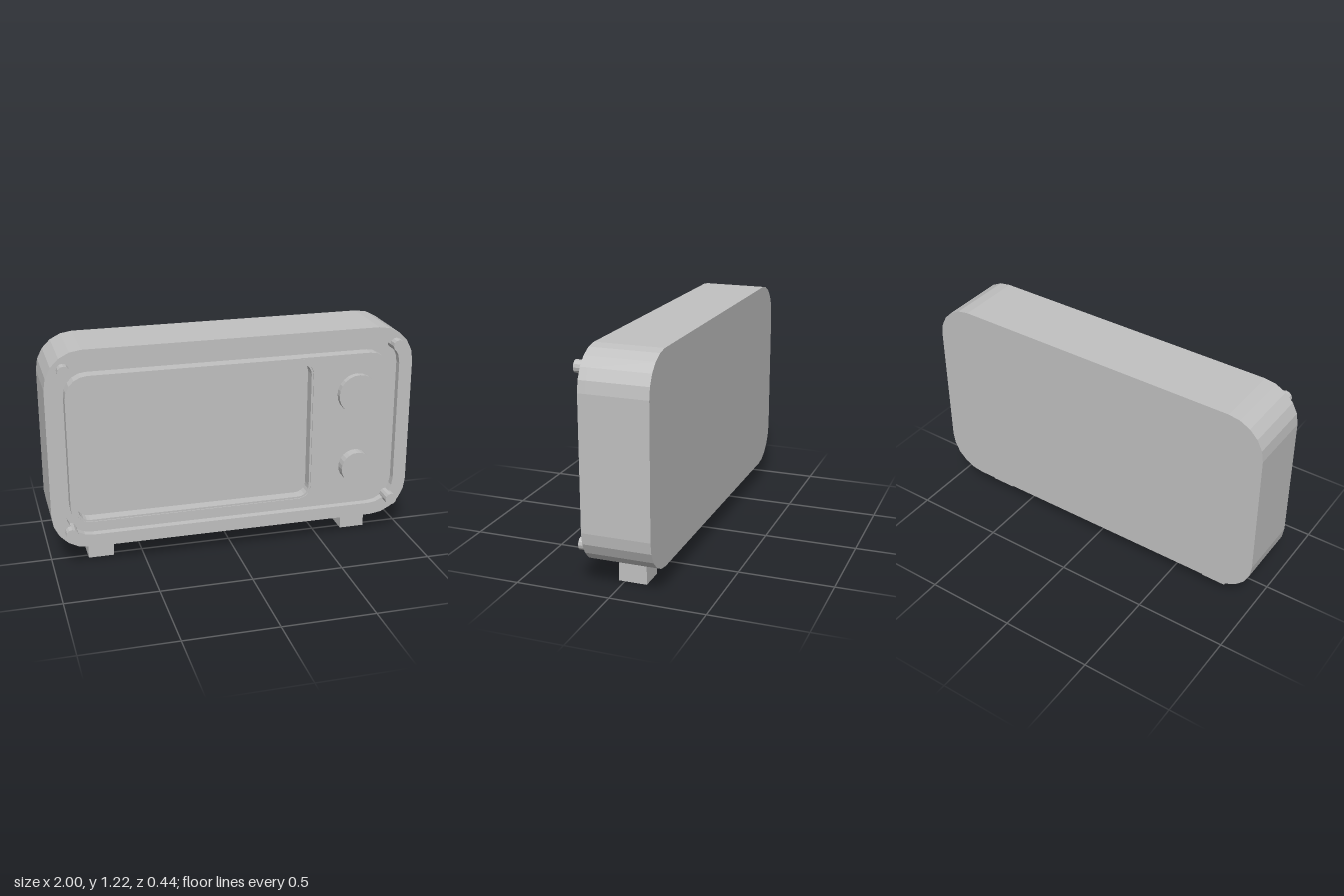
import * as THREE from 'three';

const grey = new THREE.MeshStandardMaterial({ color: 0xc0c0c0 });
grey.name = 'light grey';

// Points of a rounded rectangle, five facets per corner
function outline([x0, x1, y0, y1, r]) {
  const corners = [[x1 - r, y1 - r], [x0 + r, y1 - r], [x0 + r, y0 + r], [x1 - r, y0 + r]];
  const points = [];
  corners.forEach(([cx, cy], k) => {
    for (let i = 0; i <= 5; i++) {
      const a = (k + i / 5) * Math.PI / 2;
      points.push(new THREE.Vector2(cx + r * Math.cos(a), cy + r * Math.sin(a)));
    }
  });
  return points;
}

export function createModel() {
  const model = new THREE.Group();
  model.name = 'tabletopSet';

  function add(name, geometry, x = 0, y = 0, z = 0) {
    const mesh = new THREE.Mesh(geometry, grey);
    mesh.name = name;
    mesh.position.set(x, y, z);
    model.add(mesh);
  }

  // Rounded slab between two depths, with an optional rounded hole
  function slab(name, rect, z0, z1, hole) {
    const shape = new THREE.Shape(outline(rect));
    if (hole) shape.holes.push(new THREE.Path(outline(hole)));
    add(name, new THREE.ExtrudeGeometry(shape, { depth: z1 - z0, bevelEnabled: false }), 0, 0, z0);
  }

  // Faceted cylinder pointing forward
  function disc(name, x, y, r, z0, z1, sides) {
    const geometry = new THREE.CylinderGeometry(r, r, z1 - z0, sides).rotateX(Math.PI / 2).toNonIndexed();
    geometry.computeVertexNormals();
    add(name, geometry, x, y, (z0 + z1) / 2);
  }

  // Case: solid back and a front rim around a shallow recess
  const body = [-1, 1, 0.12, 1.22, 0.2];
  slab('caseBack', body, -0.22, 0.1);
  slab('caseRim', body, 0.1, 0.14, [-0.925, 0.925, 0.19, 1.15, 0.14]);

  // Front panel and screen bezel, both open down to the screen
  slab('frontPanel', [-0.9, 0.865, 0.25, 1.09, 0.12], 0.1, 0.165, [-0.86, 0.415, 0.29, 1.055, 0.06]);
  slab('screenBezel', [-0.9, 0.455, 0.25, 1.09, 0.12], 0.165, 0.17, [-0.87, 0.425, 0.28, 1.065, 0.07]);
  slab('screen', [-0.86, 0.415, 0.29, 1.055, 0.06], 0.1, 0.103);

  // Control knobs
  disc('upperKnob', 0.675, 0.87, 0.11, 0.16, 0.2, 24);
  disc('lowerKnob', 0.675, 0.45, 0.09, 0.16, 0.22, 24);

  // Corner posts and feet
  for (const side of [-1, 1]) {
    for (const y of [0.222, 1.122]) disc('cornerPost', side * 0.9, y, 0.033, 0.1, 0.19, 12);
    add('foot', new THREE.BoxGeometry(0.14, 0.13, 0.15), side * 0.73, 0.065, -0.043);
  }
  return model;
}
